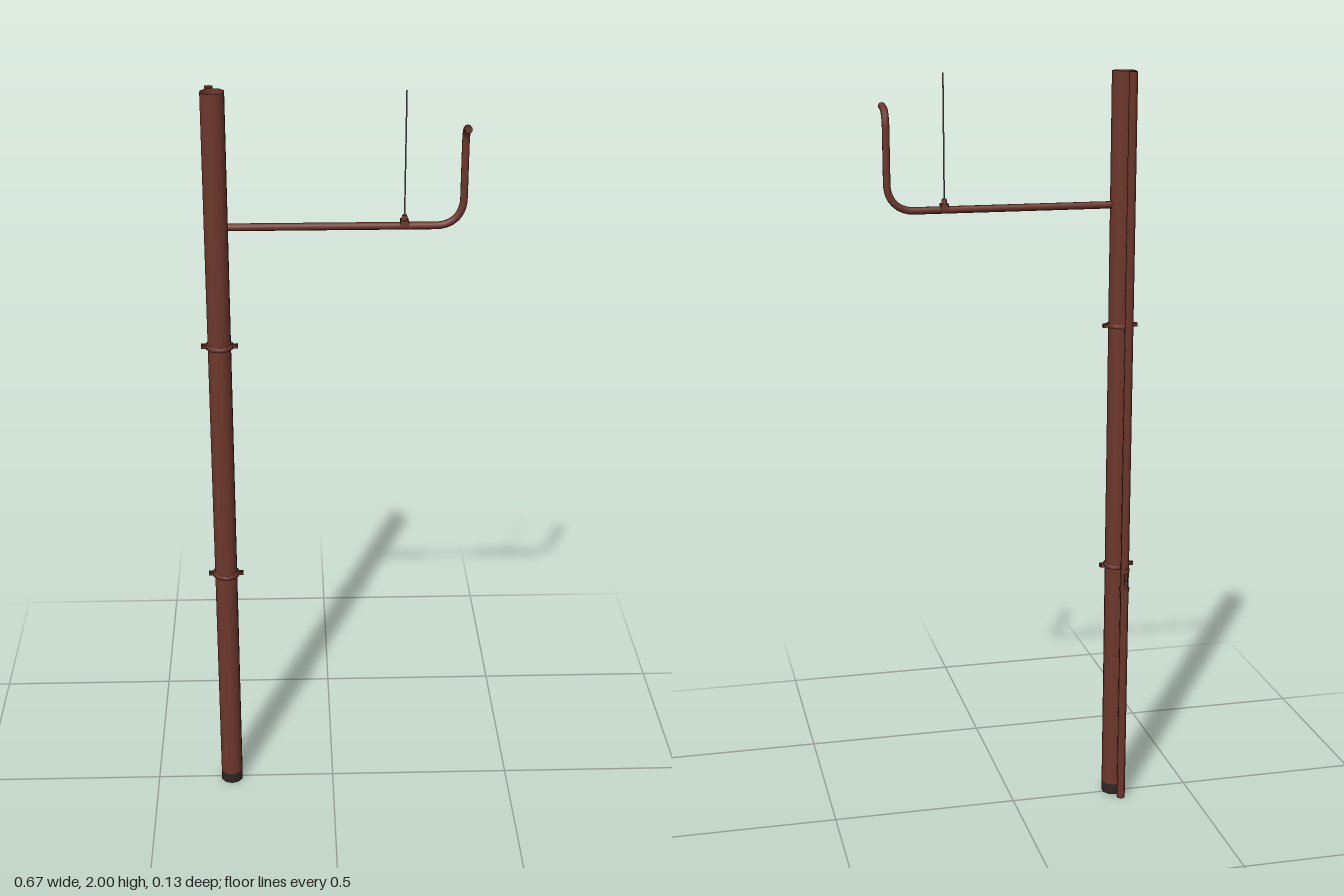
import * as THREE from 'three';

const material = (name, color, side = THREE.FrontSide) => {
  const m = new THREE.MeshStandardMaterial({ color, side });
  m.name = name;
  return m;
};

export function createModel() {
  const model = new THREE.Group();
  const rust = material('rust brown', 0x6e382d);
  const rustOpen = material('rust brown open pipe', 0x6e382d, THREE.DoubleSide);
  const dark = material('dark base', 0x2e2725, THREE.DoubleSide);
  const grey = material('wire grey', 0x7c7c7c);
  const POLE_X = -0.29, Z = 0.005;

  const add = (name, geometry, mat, x = 0, y = 0, z = 0, parent = model) => {
    const mesh = new THREE.Mesh(geometry, mat);
    mesh.name = name;
    mesh.position.set(x, y, z);
    parent.add(mesh);
    return mesh;
  };

  // Open ten-sided main pipe with a dark foot
  add('mainPipe', new THREE.CylinderGeometry(0.031, 0.031, 1.97, 10, 1, true), rustOpen, POLE_X, 1.015, Z);
  add('pipeFoot', new THREE.CylinderGeometry(0.031, 0.031, 0.03, 10, 1, true), dark, POLE_X, 0.015, Z);

  // Pipe clamps: flat ring with paired, bolted lugs on both sides
  const band = new THREE.LatheGeometry(
    [[0.031, -0.005], [0.036, -0.005], [0.036, 0.005], [0.031, 0.005]].map(p => new THREE.Vector2(...p)), 10);
  for (const y of [0.677, 1.343]) {
    const clamp = new THREE.Group();
    clamp.name = 'pipeClamp';
    clamp.position.set(POLE_X, y, Z);
    model.add(clamp);
    add('clampBand', band, rustOpen, 0, 0, 0, clamp);
    for (const side of [-1, 1]) {
      for (const s of [-1, 1]) {
        add('clampLug', new THREE.BoxGeometry(0.014, 0.01, 0.003), rust, side * 0.04, 0, s * 0.004, clamp);
      }
      const bolt = add('clampBolt', new THREE.CylinderGeometry(0.0025, 0.0025, 0.017, 6), rust, side * 0.042, 0, 0, clamp);
      bolt.rotation.x = Math.PI / 2;
    }
  }

  // Slim six-sided rod behind the pipe, with its joint and fastener
  const ROD_X = -0.3, ROD_Z = -0.045;
  add('slimRod', new THREE.CylinderGeometry(0.0115, 0.0115, 2, 6), rust, ROD_X, 1, ROD_Z);
  add('rodJoint', new THREE.CylinderGeometry(0.0135, 0.0135, 0.012, 6), rust, ROD_X, 0.62, ROD_Z);
  add('rodCollar', new THREE.CylinderGeometry(0.0135, 0.0135, 0.01, 6), rust, ROD_X, 0.677, ROD_Z);
  add('rodFastener', new THREE.BoxGeometry(0.008, 0.035, 0.008), rust, ROD_X, 0.65, -0.056);
  const pin = add('fastenerPin', new THREE.CylinderGeometry(0.002, 0.002, 0.012, 6), rust, ROD_X, 0.65, -0.06);
  pin.rotation.x = Math.PI / 2;

  // Side arm: runs out, bends upward, then hooks forward
  const v = (x, y, z) => new THREE.Vector3(x, y, z);
  const path = new THREE.CurvePath();
  path.add(new THREE.LineCurve3(v(-0.264, 1.66, Z), v(0.255, 1.66, Z)));
  path.add(new THREE.CubicBezierCurve3(v(0.255, 1.66, Z), v(0.295, 1.66, Z), v(0.324, 1.685, Z), v(0.324, 1.73, Z)));
  path.add(new THREE.LineCurve3(v(0.324, 1.73, Z), v(0.324, 1.86, Z)));
  path.add(new THREE.CubicBezierCurve3(v(0.324, 1.86, Z), v(0.324, 1.9, Z), v(0.324, 1.917, 0.025), v(0.324, 1.917, 0.062)));
  add('hookedArm', new THREE.TubeGeometry(path, 120, 0.0095, 10), rust);
  const startCap = add('armStartCap', new THREE.CircleGeometry(0.0095, 10), rust, -0.264, 1.66, Z);
  startCap.rotation.y = -Math.PI / 2;
  add('armEndCap', new THREE.CircleGeometry(0.0095, 10), rust, 0.324, 1.917, 0.062);

  // Wire rising from a small block on the arm
  add('wireBlock', new THREE.BoxGeometry(0.02, 0.016, 0.022), rust, 0.178, 1.668, Z);
  add('wireSocket', new THREE.CylinderGeometry(0.006, 0.008, 0.012, 8), rust, 0.178, 1.682, Z);
  add('wire', new THREE.CylinderGeometry(0.002, 0.002, 0.315, 6), grey, 0.178, 1.8425, Z);

  return model;
}
